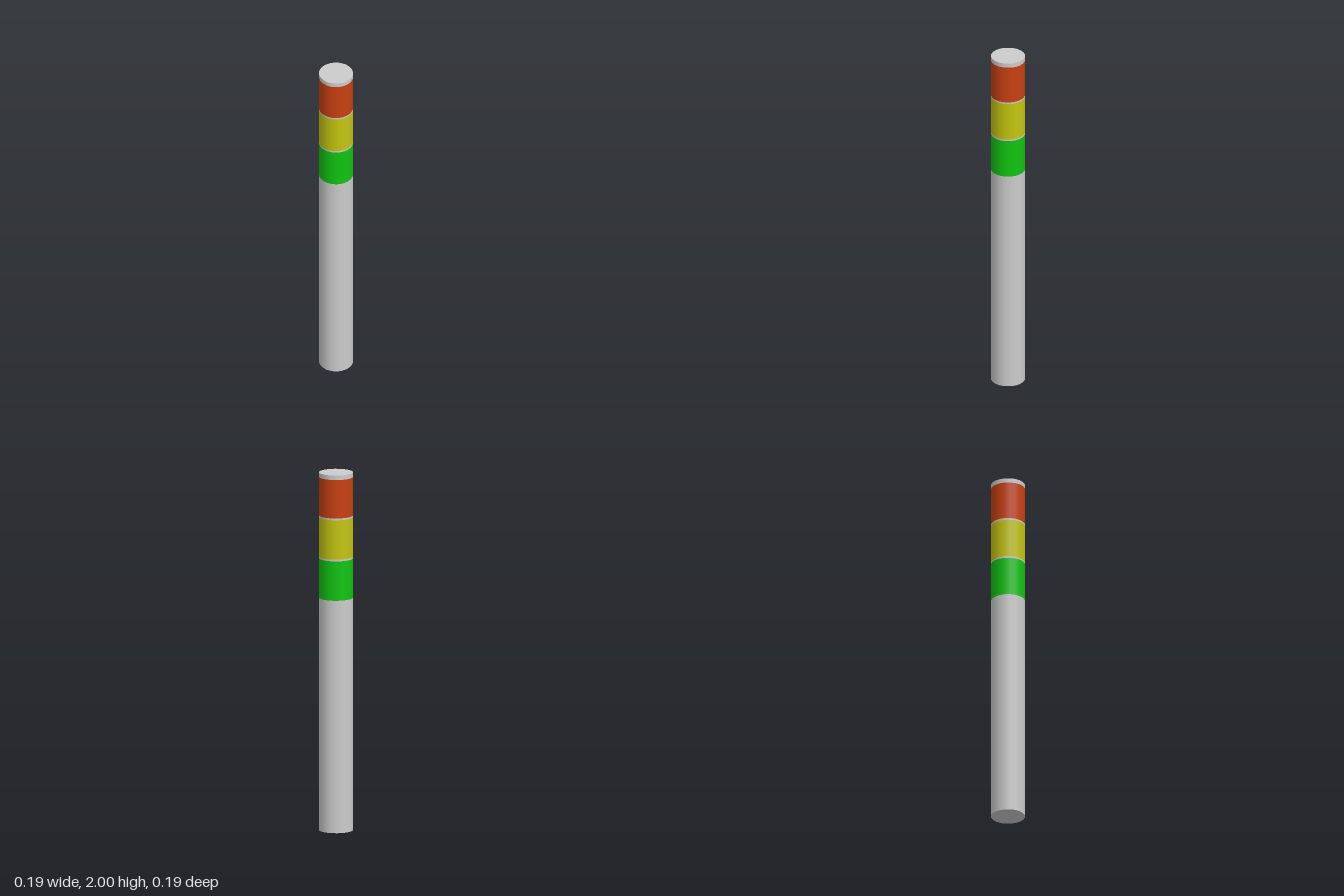
import * as THREE from 'three';

const RADIUS = 0.094;
const SIDES = 20;

// name, bottom, top, colour
const SECTIONS = [
  ['pole', 0, 1.3, 0xcccccc],
  ['greenLamp', 1.3, 1.52, 0x10c410],
  ['lowerSpacer', 1.52, 1.53, 0xcccccc],
  ['yellowLamp', 1.53, 1.75, 0xc4c410],
  ['upperSpacer', 1.75, 1.76, 0xcccccc],
  ['redLamp', 1.76, 1.975, 0xc84010],
  ['topCap', 1.975, 2, 0xcccccc],
];

export function createModel() {
  const group = new THREE.Group();
  group.name = 'signalTower';

  // Stacked cylinders; only the two ends of the tower are closed
  SECTIONS.forEach(([name, bottom, top, color], i) => {
    const open = i > 0 && i < SECTIONS.length - 1;
    const geometry = new THREE.CylinderGeometry(RADIUS, RADIUS, top - bottom, SIDES, 1, open);
    const mesh = new THREE.Mesh(geometry, new THREE.MeshStandardMaterial({ color }));
    mesh.name = name;
    mesh.position.y = (bottom + top) / 2;
    group.add(mesh);
  });

  return group;
}
